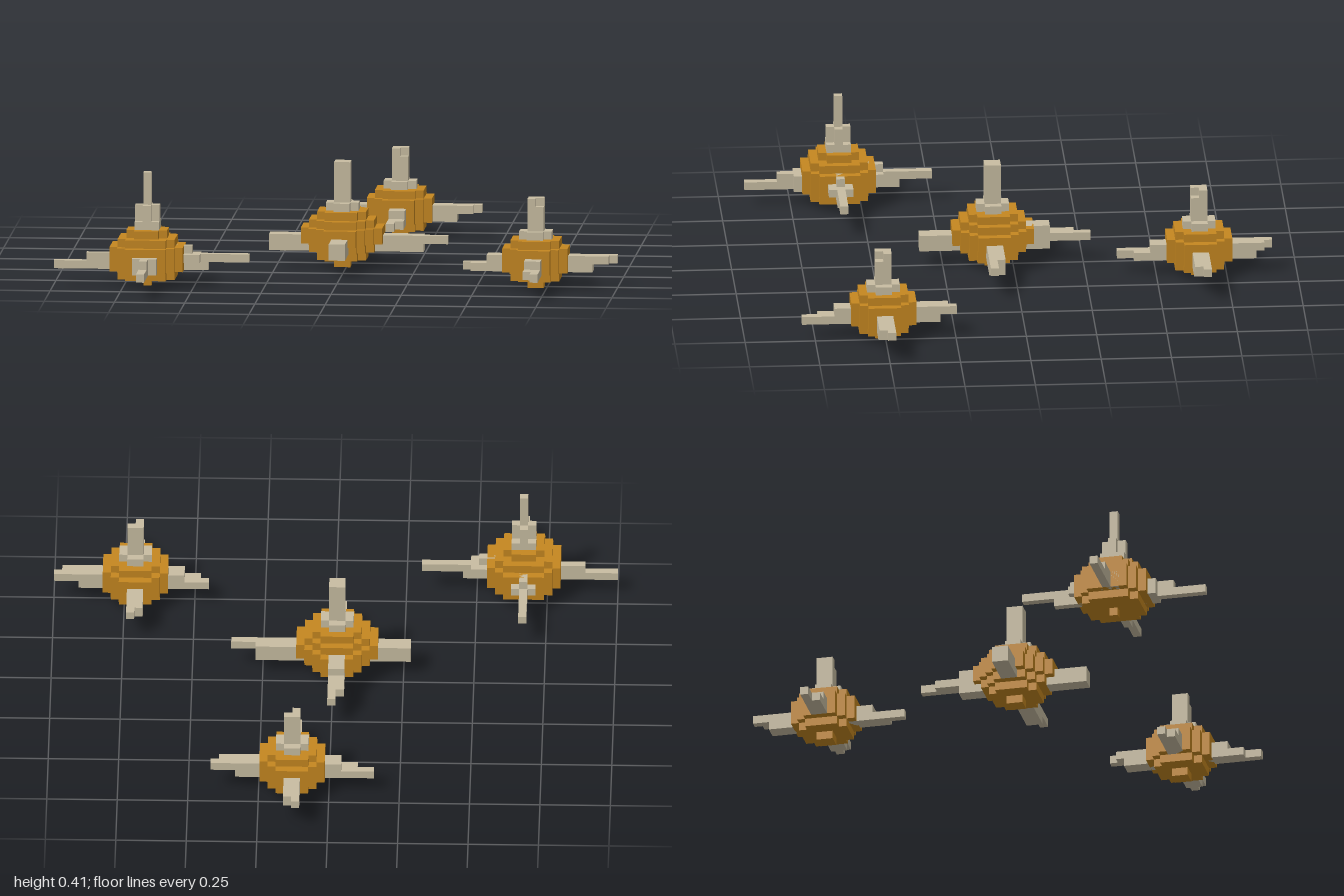
import * as THREE from 'three';

const V = 2 / 69; // one block

const shell = new THREE.MeshStandardMaterial({ color: 0xc58720 });
shell.name = 'amber shell';
const bone = new THREE.MeshStandardMaterial({ color: 0xc8bda2 });
bone.name = 'pale bone';

// Box given in block units by its limits
function block(group, name, material, x0, x1, y0, y1, z0, z1) {
  const mesh = new THREE.Mesh(new THREE.BoxGeometry((x1 - x0) * V, (y1 - y0) * V, (z1 - z0) * V), material);
  mesh.position.set((x0 + x1) / 2 * V, (y0 + y1) / 2 * V, (z0 + z1) / 2 * V);
  mesh.name = name;
  group.add(mesh);
}

// Blocky disc: a square of the given width with stepped corners
function disc(group, name, material, width, cut, y0, y1) {
  const h = width / 2, quarter = [];
  for (let s = 0; s <= cut; s++) {
    quarter.push([h - s, h - cut + s]);
    if (s < cut) quarter.push([h - s - 1, h - cut + s]);
  }
  const points = [];
  for (let q = 0; q < 4; q++) {
    for (const [x, y] of quarter) {
      const p = new THREE.Vector2(x, y).rotateAround(new THREE.Vector2(), q * Math.PI / 2);
      points.push(p.multiplyScalar(V));
    }
  }
  const geometry = new THREE.ExtrudeGeometry(new THREE.Shape(points), { depth: (y1 - y0) * V, bevelEnabled: false });
  geometry.rotateX(-Math.PI / 2);
  const mesh = new THREE.Mesh(geometry, material);
  mesh.position.y = y0 * V;
  mesh.name = name;
  group.add(mesh);
}

// Leg made of bars [length, side start, side end, bottom, top], rooted in the body
function leg(group, half, axis, sign, bars) {
  const part = new THREE.Group();
  part.name = (axis === 'x' ? (sign > 0 ? 'left' : 'right') : (sign > 0 ? 'front' : 'back')) + 'Leg';
  for (const [length, s0, s1, y0, y1] of bars) {
    const a = sign * (half - 1), b = sign * (half + length);
    const lo = Math.min(a, b), hi = Math.max(a, b);
    if (axis === 'x') block(part, 'legBar', bone, lo, hi, y0, y1, s0, s1);
    else block(part, 'legBar', bone, s0, s1, y0, y1, lo, hi);
  }
  group.add(part);
}

// Two-block-wide legs that thin out towards the tip, along the low or the high row
function lowLeg(long, short, side) {
  return [[long, side, side + 1, 2, 3], [short, -1 - side, -side, 2, 3], [2, -1, 1, 3, 4]];
}
function highLeg(long, short, side) {
  return [[long, side, side + 1, 3, 4], [short, -1 - side, -side, 3, 4], [3, -1, 1, 2, 3]];
}

function creature(name, cx, cz, width, layers, legs) {
  const g = new THREE.Group();
  g.name = name;
  g.position.set(-1 + cx * V, 0, (cz - 31.5) * V);
  for (const [w, cut, y0, y1] of layers) disc(g, 'body', shell, w, cut, y0, y1);
  const [left, right, back, front] = legs;
  leg(g, width / 2, 'x', -1, left);
  leg(g, width / 2, 'x', 1, right);
  leg(g, width / 2, 'z', -1, back);
  leg(g, width / 2, 'z', 1, front);
  return g;
}

export function createModel() {
  const model = new THREE.Group();
  model.name = 'spikedCreatures';

  // Small creatures: eight blocks wide
  const small = [[2, 0, 0, 1], [6, 1, 1, 2], [8, 2, 2, 5], [6, 1, 5, 6]];
  const smallOnes = [
    creature('backCreature', 39, 9, 8, small,
      [lowLeg(6, 4, -1), highLeg(6, 5, -1), highLeg(5, 4, -1), lowLeg(6, 4, -1)]),
    creature('leftCreature', 59, 49, 8, small,
      [lowLeg(5, 4, -1), highLeg(6, 5, -1), highLeg(5, 4, 0), lowLeg(6, 4, 0)]),
  ];
  for (const c of smallOnes) {
    disc(c, 'cap', bone, 4, 1, 6, 7);
    block(c, 'spike', bone, -1, 1, 7, 10, -1, 1);
    block(c, 'spikeTip', bone, -1, 1, 10, 11, -1, 0);
    block(c, 'spikeTip', bone, -1, 0, 10, 11, 0, 1);
    model.add(c);
  }

  // Middle creature: ten blocks wide
  const middle = creature('middleCreature', 34, 34, 10,
    [[2, 0, 0, 1], [6, 1, 1, 2], [8, 2, 2, 3], [10, 3, 3, 5], [8, 2, 5, 6], [6, 1, 6, 7]],
    [
      [[4, -1, 1, 2, 4]],
      [[5, -1, 1, 2, 4], [8, 0, 1, 3, 4]],
      [[7, 0, 1, 3, 4], [5, -1, 0, 3, 4], [2, -1, 1, 2, 5]],
      [[4, -1, 1, 2, 4]],
    ]);
  disc(middle, 'cap', bone, 4, 1, 7, 8);
  block(middle, 'spike', bone, -1, 1, 8, 13, -1, 1);
  model.add(middle);

  // Right creature: nine blocks wide, with slim legs on thick roots
  const c = 0.5, r = 1.5;
  const slimLow = (length, root) => [[length, -c, c, 2, 3], [3, -c, c, 2, 4], [root, -r, r, 2, 4]];
  const slimHigh = (length, root) => [[length, -c, c, 3, 4], [3, -c, c, 2, 4], [root, -r, r, 3, 4], [1, -c, c, 2, 5]];
  const right = creature('rightCreature', 11.5, 51.5, 9,
    [[1, 0, 0, 1], [7, 1, 1, 2], [9, 2, 2, 5], [7, 1, 5, 6], [5, 1, 6, 7]],
    [slimLow(7, 0), slimHigh(8, 2), slimHigh(7, 1), slimLow(7, 1)]);
  disc(right, 'cap', bone, 3, 0, 7, 8);
  disc(right, 'spikeRoot', bone, 3, 1, 8, 10);
  block(right, 'spike', bone, -c, c, 10, 14, -c, c);
  model.add(right);

  return model;
}
